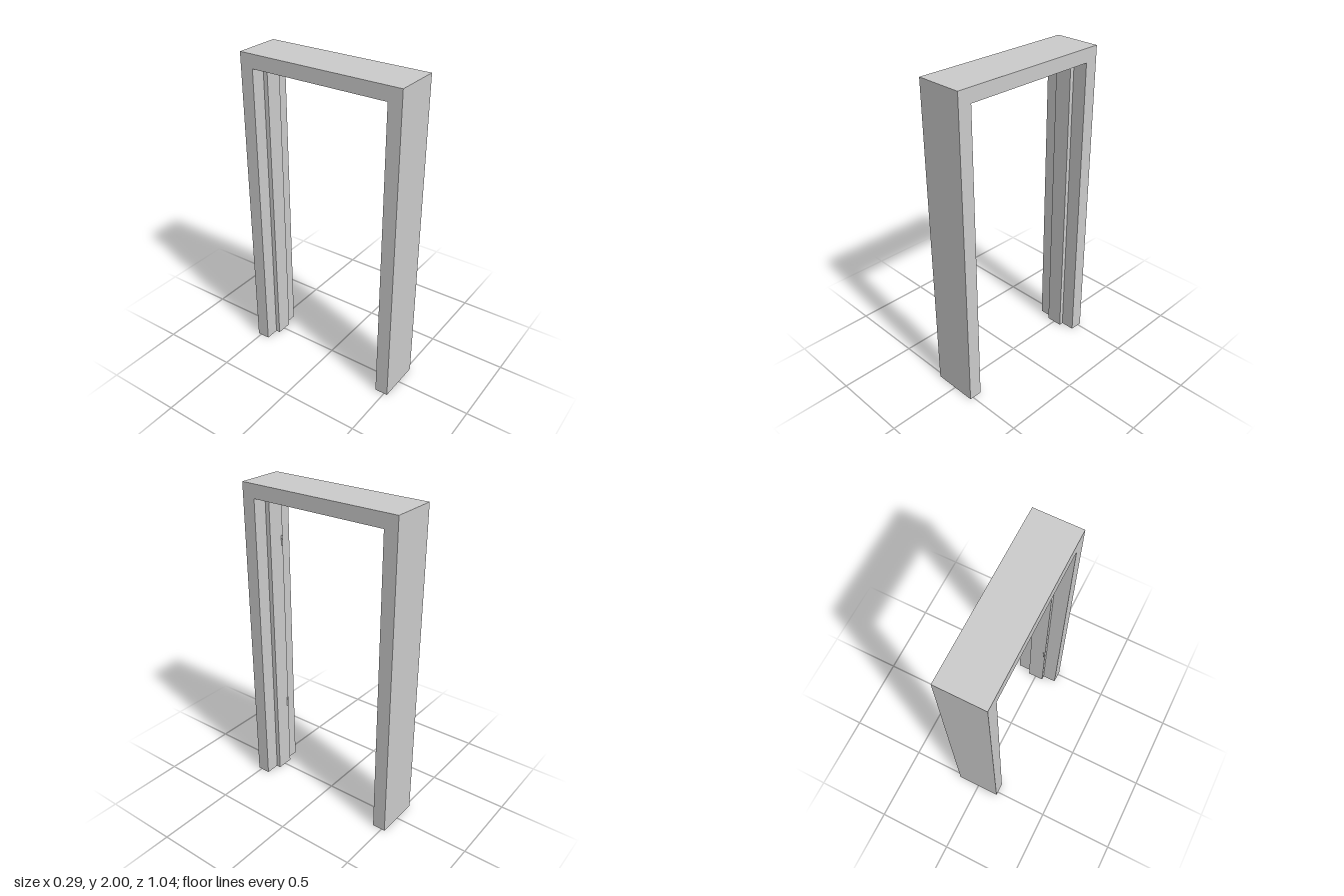
import * as THREE from 'three';

const grey = new THREE.MeshStandardMaterial({ color: 0xcccccc, flatShading: true });

// Upside-down U of two posts and a head, extruded along x and centred on x = 0
function portal(name, outerHalf, outerTop, innerHalf, innerTop, depth) {
  const shape = new THREE.Shape([
    [-outerHalf, 0], [-innerHalf, 0], [-innerHalf, innerTop], [innerHalf, innerTop],
    [innerHalf, 0], [outerHalf, 0], [outerHalf, outerTop], [-outerHalf, outerTop],
  ].map(([u, v]) => new THREE.Vector2(u, v)));
  const geometry = new THREE.ExtrudeGeometry(shape, { depth, bevelEnabled: false });
  geometry.translate(0, 0, -depth / 2).rotateY(Math.PI / 2);
  const mesh = new THREE.Mesh(geometry, grey);
  mesh.name = name;
  return mesh;
}

export function createModel() {
  const group = new THREE.Group();
  group.name = 'doorFrame';

  // Main frame and the raised door stop running round its inside
  group.add(portal('frame', 0.522, 2, 0.438, 1.915, 0.29));
  group.add(portal('doorStop', 0.438, 1.915, 0.41, 1.89, 0.108));

  // Two small hinge pins on the +z post, near the stop's -x edge
  for (const [name, y] of [['lowerHinge', 0.493], ['upperHinge', 1.625]]) {
    const hinge = new THREE.Mesh(new THREE.CylinderGeometry(0.006, 0.006, 0.064, 12), grey);
    hinge.name = name;
    hinge.position.set(-0.046, y, 0.409);
    group.add(hinge);
  }
  return group;
}
